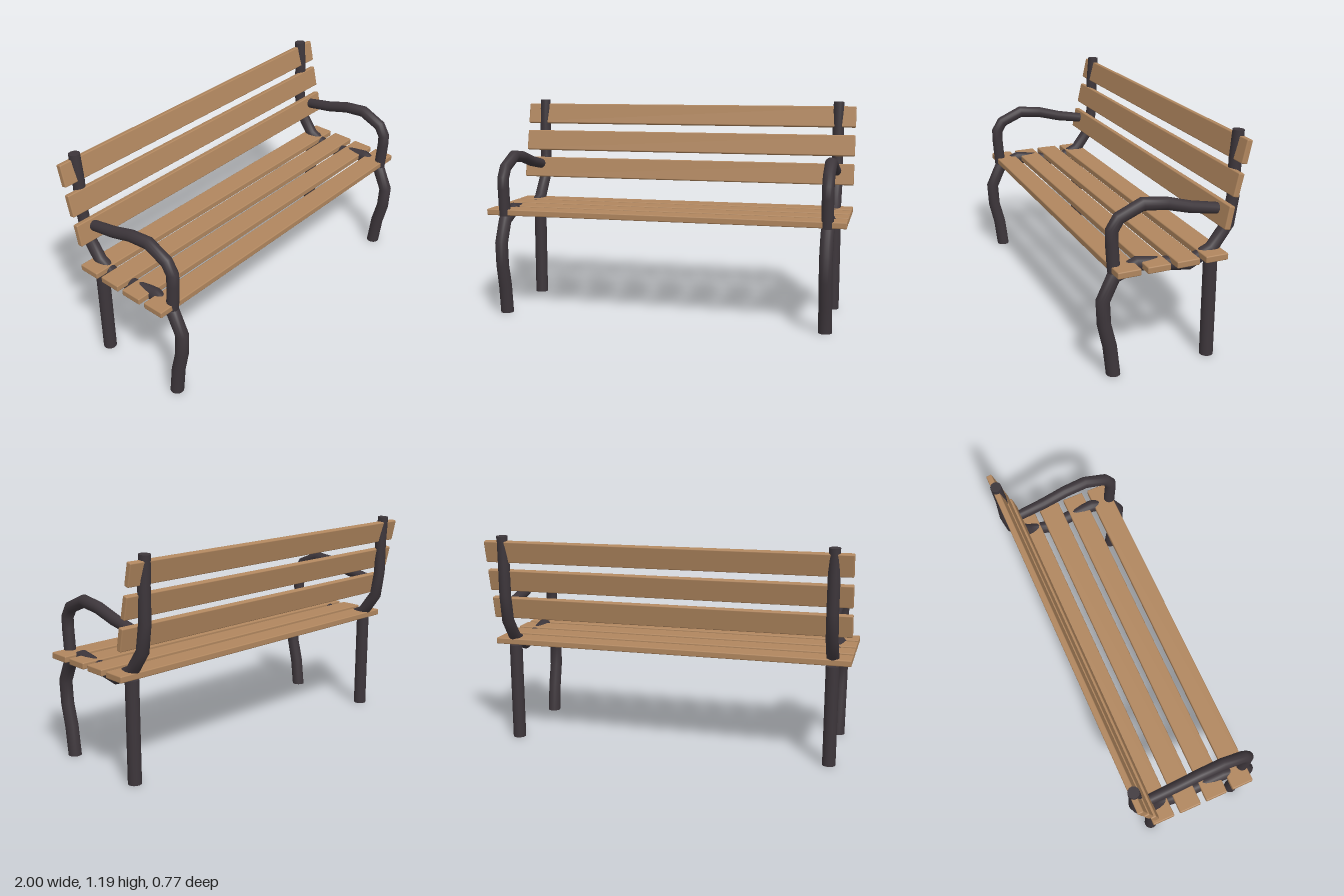
import * as THREE from 'three';
import { RoundedBoxGeometry } from 'three/addons/geometries/RoundedBoxGeometry.js';

const SIDES = 16;

// Bent pipe in the yz plane: points are [z, y, radius]; mitred bends, flat caps,
// and a level cut at the lower start.
function pipe(points) {
  const across = new THREE.Vector3(1, 0, 0);
  const centres = points.map(([z, y]) => new THREE.Vector3(0, y, z));
  const dirs = centres.slice(1).map((p, i) => p.clone().sub(centres[i]).normalize());
  const pos = [], index = [], last = points.length - 1;

  const addRing = (i) => {
    const before = dirs[Math.max(i - 1, 0)], after = dirs[Math.min(i, last - 1)];
    const tangent = i === 0 ? new THREE.Vector3(0, 1, 0) : before.clone().add(after).normalize();
    const normal = across.clone().cross(tangent);
    const r = points[i][2], mitre = r / tangent.dot(after);
    for (let j = 0; j < SIDES; j++) {
      const a = (j / SIDES) * Math.PI * 2;
      const p = centres[i].clone()
        .addScaledVector(normal, Math.cos(a) * mitre)
        .addScaledVector(across, Math.sin(a) * r);
      pos.push(p.x, p.y, p.z);
    }
  };

  // Wall
  points.forEach((_, i) => addRing(i));
  for (let i = 0; i < last; i++) {
    for (let j = 0; j < SIDES; j++) {
      const k = (j + 1) % SIDES, lo = i * SIDES, hi = lo + SIDES;
      index.push(lo + j, lo + k, hi + k, lo + j, hi + k, hi + j);
    }
  }
  // Caps, with their own vertices so the rims stay sharp
  for (const i of [0, last]) {
    const base = pos.length / 3;
    addRing(i);
    for (let j = 1; j < SIDES - 1; j++) {
      if (i === 0) index.push(base, base + j + 1, base + j);
      else index.push(base, base + j, base + j + 1);
    }
  }
  const geo = new THREE.BufferGeometry();
  geo.setAttribute('position', new THREE.Float32BufferAttribute(pos, 3));
  geo.setIndex(index);
  geo.computeVertexNormals();
  return geo;
}

export function createModel() {
  const bench = new THREE.Group();
  bench.name = 'bench';

  const wood = new THREE.MeshStandardMaterial({ color: 0xb0865e });
  wood.name = 'wood';
  const metal = new THREE.MeshStandardMaterial({ color: 0x3d363b });
  metal.name = 'darkMetal';

  const add = (parent, name, geo, mat, x = 0, y = 0, z = 0) => {
    const mesh = new THREE.Mesh(geo, mat);
    mesh.name = name;
    mesh.position.set(x, y, z);
    parent.add(mesh);
    return mesh;
  };

  // Front leg, seat rail and back post in one continuous bent pipe
  const frameGeo = pipe([
    [0.294, 0, 0.036], [0.313, 0.157, 0.036], [0.344, 0.284, 0.035], [0.351, 0.41, 0.035],
    [0.295, 0.53, 0.035], [0.177, 0.578, 0.035], [-0.107, 0.533, 0.035], [-0.234, 0.59, 0.034],
    [-0.322, 0.71, 0.033], [-0.345, 0.855, 0.032], [-0.345, 1.036, 0.032], [-0.356, 1.188, 0.03],
  ]);
  // Armrest rising from the seat and running back to the lowest back slat
  const armGeo = pipe([
    [0.294, 0.555, 0.032], [0.306, 0.71, 0.032], [0.306, 0.77, 0.032], [0.271, 0.827, 0.032],
    [0.149, 0.88, 0.033], [0.025, 0.866, 0.032], [-0.107, 0.828, 0.031], [-0.256, 0.8, 0.029],
  ]);
  const rearLegGeo = new THREE.CylinderGeometry(0.036, 0.036, 0.55, SIDES);

  for (const [side, x] of [['left', 0.9], ['right', -0.9]]) {
    const end = new THREE.Group();
    end.name = side + 'Frame';
    end.position.x = x;
    add(end, side + 'LegAndBackPost', frameGeo, metal);
    add(end, side + 'Armrest', armGeo, metal);
    add(end, side + 'RearLeg', rearLegGeo, metal, 0, 0.275, -0.232);
    bench.add(end);
  }

  // Seat slats
  const seatSlat = new RoundedBoxGeometry(2, 0.035, 0.123, 2, 0.006);
  for (let i = 0; i < 4; i++) {
    add(bench, 'seatSlat' + (i + 1), seatSlat, wood, 0, 0.577, 0.255 - i * 0.1565);
  }

  // Back slats, leaning backwards
  const backSlat = new RoundedBoxGeometry(2, 0.121, 0.032, 2, 0.006);
  [[0.777, -0.274, 0.19], [0.939, -0.314, 0.22], [1.102, -0.35, 0.22]].forEach(([y, z, lean], i) => {
    add(bench, 'backSlat' + (i + 1), backSlat, wood, 0, y, z).rotation.x = -lean;
  });

  return bench;
}
